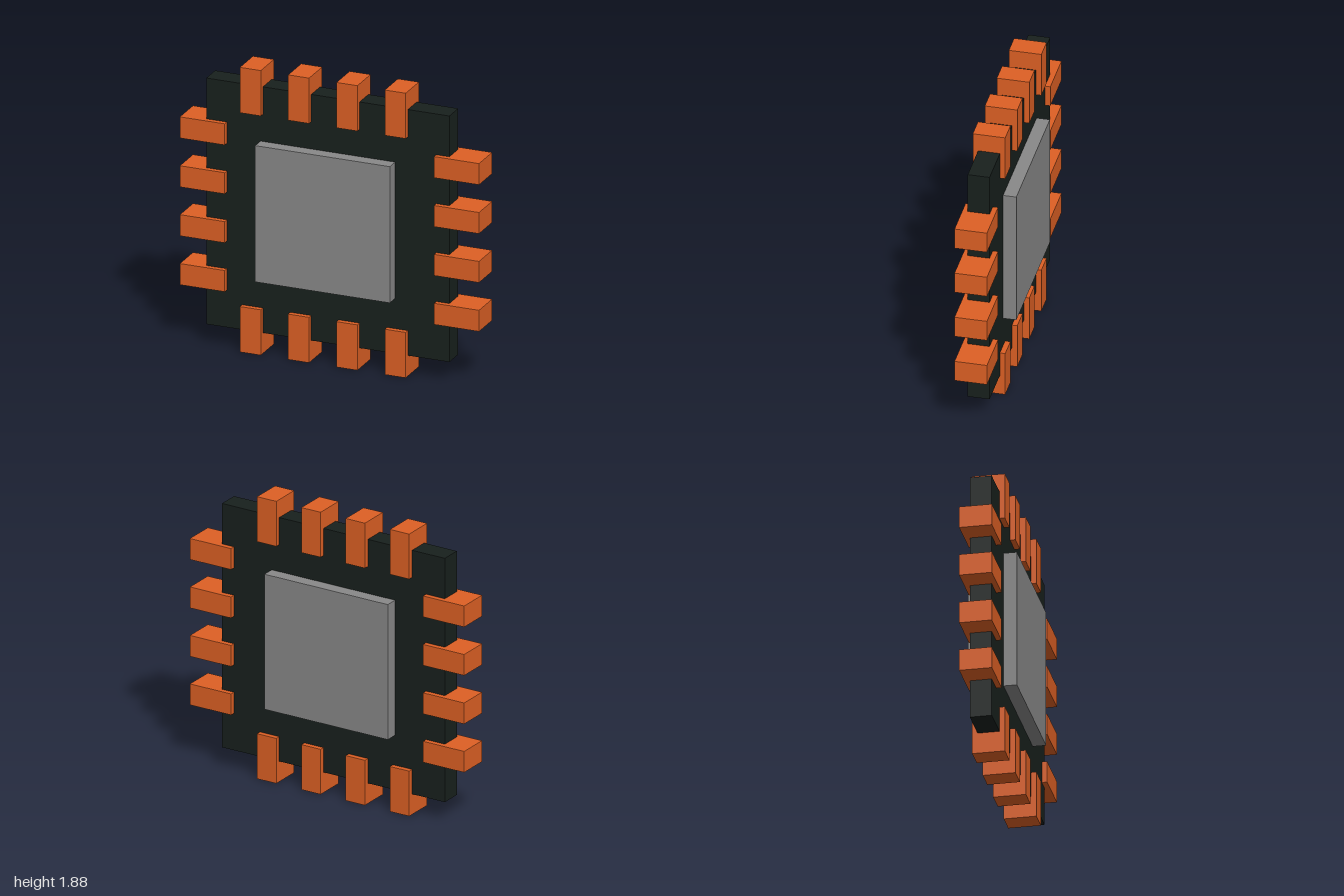
import * as THREE from 'three';

export function createModel() {
  const model = new THREE.Group();
  model.name = 'microchip';

  const boardMaterial = new THREE.MeshStandardMaterial({ color: 0x18201d });
  const coreMaterial = new THREE.MeshStandardMaterial({ color: 0x888888 });
  const pinMaterial = new THREE.MeshStandardMaterial({ color: 0xdd6024 });

  function addBox(name, material, size, position, parent = model) {
    const mesh = new THREE.Mesh(new THREE.BoxGeometry(...size), material);
    mesh.name = name;
    mesh.position.set(...position);
    parent.add(mesh);
  }

  // Square board, with the core showing through on both faces
  addBox('board', boardMaterial, [1.625, 1.625, 0.138], [-0.025, 0.948, 0]);
  addBox('core', coreMaterial, [0.9, 0.9, 0.305], [-0.025, 0.95, 0]);

  // Four pins straddling each edge of the board
  const pins = new THREE.Group();
  pins.name = 'pins';
  model.add(pins);
  const length = 0.3, width = 0.14, depth = 0.205, pitch = 0.323;
  for (let i = 0; i < 4; i++) {
    const x = -0.529 + i * pitch;
    const y = 0.452 + i * pitch;
    addBox('topPin', pinMaterial, [width, length, depth], [x, 1.73, 0], pins);
    addBox('bottomPin', pinMaterial, [width, length, depth], [x, 0.15, 0], pins);
    addBox('leftPin', pinMaterial, [length, width, depth], [0.85, y, 0], pins);
    addBox('rightPin', pinMaterial, [length, width, depth], [-0.85, y, 0], pins);
  }
  return model;
}
